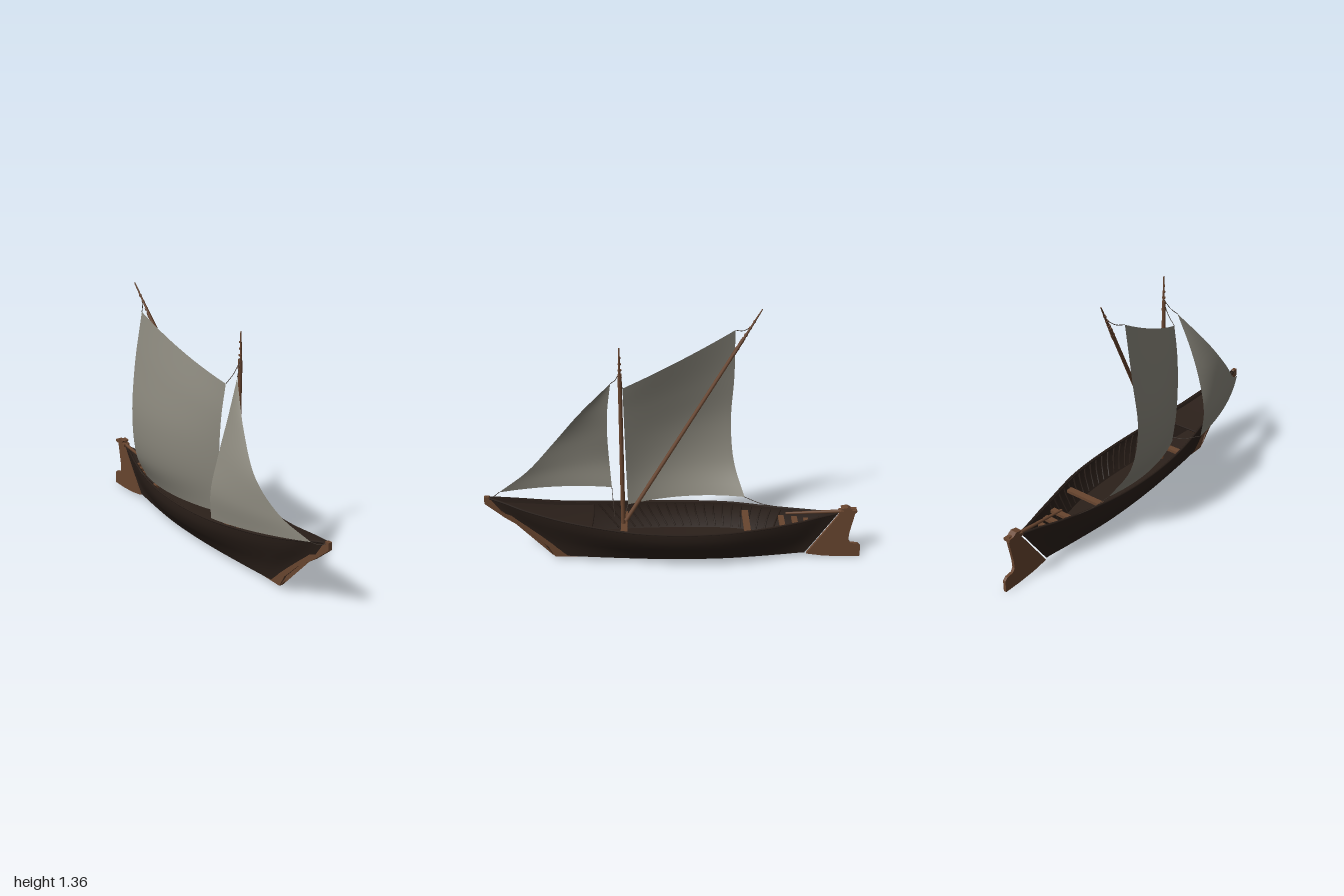
import * as THREE from 'three';
import { toCreasedNormals } from 'three/addons/utils/BufferGeometryUtils.js';

const V = (x, y, z) => new THREE.Vector3(x, y, z);
const material = (color) => new THREE.MeshStandardMaterial({ color, roughness: 0.9, side: THREE.DoubleSide });
const CX = 0.052; // centre line of the boat

// Smooth curve through evenly spaced values
function curveOf(values) {
  const spline = new THREE.SplineCurve(values.map((v, i) => new THREE.Vector2(i, v)));
  return (t) => spline.getPoint(t).y;
}
// Straight interpolation between [key, value] pairs
function lerpTable(table, k) {
  let i = 1;
  while (i < table.length - 1 && table[i][0] < k) i++;
  const [a, b] = [table[i - 1], table[i]];
  return THREE.MathUtils.mapLinear(k, a[0], b[0], a[1], b[1]);
}
// Surface through rows of points
function loft(rows, crease) {
  const n = rows[0].length, index = [];
  for (let i = 0; i < rows.length - 1; i++) {
    for (let j = 0; j < n - 1; j++) {
      const a = i * n + j, b = a + n;
      index.push(a, b, a + 1, b, b + 1, a + 1);
    }
  }
  const geo = new THREE.BufferGeometry().setFromPoints(rows.flat());
  geo.setIndex(index);
  geo.computeVertexNormals();
  return crease ? toCreasedNormals(geo, crease) : geo;
}
// Flat plate drawn as a (z, y) outline, centred on the boat
function plate(points, width) {
  const shape = new THREE.Shape(points.map(([z, y]) => new THREE.Vector2(z, y)));
  const geo = new THREE.ExtrudeGeometry(shape, { depth: width, bevelEnabled: false });
  return geo.translate(0, 0, -width / 2).rotateY(-Math.PI / 2).translate(CX, 0, 0);
}
// Tapered round spar between two points
function spar(a, b, r0, r1) {
  const dir = b.clone().sub(a);
  const geo = new THREE.CylinderGeometry(r1, r0, dir.length(), 10);
  geo.applyQuaternion(new THREE.Quaternion().setFromUnitVectors(V(0, 1, 0), dir.normalize()));
  return geo.translate((a.x + b.x) / 2, (a.y + b.y) / 2, (a.z + b.z) / 2);
}
const tube = (points, r, segments = 12) =>
  new THREE.TubeGeometry(new THREE.CatmullRomCurve3(points), segments, r, 5);

// Hull lines: t runs bow to stern, f runs bottom to rail
const sheer = curveOf([0.39, 0.345, 0.305, 0.28, 0.262, 0.253, 0.25, 0.25, 0.25, 0.258, 0.272]);
const plan = curveOf([0.03, 0.33, 0.56, 0.76, 0.92, 1, 1, 0.9, 0.66, 0.37, 0.06]);
const section = [[0, 0.055], [0.22, 0.092], [0.5, 0.142], [0.82, 0.174], [1, 0.175]];
const bow = [[0, 0.65], [0.18, 0.69], [0.47, 0.79], [0.76, 0.91], [1, 0.99]];
function hullPoint(f, t, side, inset = 0) {
  const half = Math.max(0.001, lerpTable(section, f) * plan(t) - inset);
  return V(CX + side * half, 0.025 + f * (sheer(t) - 0.025),
    THREE.MathUtils.lerp(lerpTable(bow, f), -0.7 - 0.165 * f, t));
}

export function createModel() {
  const model = new THREE.Group();
  const tarred = material(0x2b201a), wood = material(0x68452f);
  const canvas = material(0x8a877c), cord = material(0x3a3029);
  const add = (name, geo, mat, parent = model) => {
    const mesh = new THREE.Mesh(geo, mat);
    mesh.name = name;
    parent.add(mesh);
    return mesh;
  };
  const group = (name) => {
    const g = new THREE.Group();
    g.name = name;
    model.add(g);
    return g;
  };

  // Hull: closed ring of inner floor, inner side, rail, outer side, bottom
  const rows = [];
  for (let i = 0; i <= 40; i++) {
    const t = i / 40;
    const half = (s) => [
      hullPoint(0.42, t, s, 0.012), hullPoint(0.82, t, s, 0.012), hullPoint(1, t, s, 0.012),
      ...[1, 0.82, 0.65, 0.5, 0.35, 0.22, 0.1, 0].map((f) => hullPoint(f, t, s)),
    ];
    const ring = [...half(1), ...half(-1).reverse()];
    rows.push([...ring, ring[0].clone()]);
  }
  add('hull', loft(rows, 0.6), tarred);

  // Rails and ribs on both sides
  const rails = group('rails'), ribs = group('ribs');
  for (const s of [-1, 1]) {
    const line = [];
    for (let i = 0; i <= 20; i++) line.push(hullPoint(1, i / 20, s, 0.004));
    add('rail', tube(line, 0.006, 50), tarred, rails);
    for (let i = 0; i < 20; i++) {
      const t = 0.31 + i * 0.028;
      add('rib', tube([0.45, 0.7, 0.97].map((f) => hullPoint(f, t, s, 0.014)), 0.005, 5), tarred, ribs);
    }
  }

  // Foredeck with a curved beam at its aft edge
  const deck = [];
  for (let i = 0; i <= 10; i++) {
    const t = 0.29 * i / 10;
    const a = hullPoint(0.93, t, -1, 0.008), b = hullPoint(0.93, t, 1, 0.008);
    const row = [];
    for (let j = 0; j <= 6; j++) {
      const p = a.clone().lerp(b, j / 6), arch = 1 - (j / 3 - 1) ** 2;
      row.push(p.add(V(0, 0.006 * arch * plan(t), -0.02 * arch * t)));
    }
    deck.push(row);
  }
  add('foredeck', loft(deck), tarred);
  add('deckBeam', tube(deck[10], 0.006), tarred);

  // Thwarts: z, half width, depth
  const thwarts = group('thwarts');
  for (const [z, half, depth] of [[0.27, 0.12, 0.035], [-0.38, 0.118, 0.035],
    [-0.57, 0.064, 0.03], [-0.64, 0.05, 0.03], [-0.7, 0.036, 0.025]]) {
    add('thwart', new THREE.BoxGeometry(half * 2, 0.016, depth).translate(CX, 0.215, z), wood, thwarts);
  }

  // Stem post running into the keel
  add('stem', plate([[1, 0.395], [1, 0.355], [0.9, 0.27], [0.785, 0.188], [0.68, 0.085], [0.645, 0.02],
    [0.22, 0.015], [0.22, 0.028], [0.655, 0.03], [0.7, 0.1], [0.8, 0.2], [0.91, 0.3], [0.975, 0.395]], 0.02), wood);

  // Rudder and tiller
  add('rudder', plate([[-0.71, 0.02], [-0.8, 0.006], [-0.9, 0], [-1, 0], [-1, 0.065], [-0.985, 0.08],
    [-0.945, 0.085], [-0.932, 0.105], [-0.935, 0.15], [-0.958, 0.27], [-0.955, 0.3], [-0.885, 0.3],
    [-0.878, 0.27]], 0.016), wood);
  add('rudderHead', plate([[-0.87, 0.272], [-0.965, 0.28], [-0.965, 0.295], [-0.94, 0.295],
    [-0.915, 0.312], [-0.88, 0.306], [-0.895, 0.293], [-0.87, 0.288]], 0.038), wood);
  add('tiller', spar(V(0.035, 0.262, -0.59), V(CX, 0.283, -0.9), 0.006, 0.01), wood);

  // Mast with a lashed topmast
  add('mast', spar(V(CX, 0.11, 0.275), V(CX, 1.09, 0.275), 0.012, 0.01), wood);
  add('topmast', spar(V(CX + 0.004, 1.02, 0.278), V(CX + 0.002, 1.23, 0.275), 0.008, 0.003), wood);

  // Slanted yard with a lashed tip
  const foot = V(0.07, 0.25, 0.26), tip = V(-0.12, 1.36, -0.44);
  const onYard = (k) => foot.clone().lerp(tip, k);
  add('yard', spar(foot, onYard(0.87), 0.011, 0.009), wood);
  add('yardTip', spar(onYard(0.8).add(V(0.004, 0, 0)), tip, 0.009, 0.003), wood);
  const lashings = group('lashings');
  for (let i = 0; i < 5; i++) {
    const y = 1.04 + i * 0.033, k = 0.82 + i * 0.03;
    add('lashing', spar(V(CX, y, 0.275), V(CX, y + 0.008, 0.275), 0.012 - i * 0.0014, 0.012 - i * 0.0014), wood, lashings);
    add('lashing', spar(onYard(k), onYard(k + 0.008), 0.011 - i * 0.001, 0.011 - i * 0.001), wood, lashings);
  }

  // Sails: chords between a front and a back edge, bellied to the right
  const sail = (name, front, back, belly) => {
    const a = new THREE.CatmullRomCurve3(front), b = new THREE.CatmullRomCurve3(back), grid = [];
    for (let i = 0; i <= 24; i++) {
      const v = i / 24, row = [];
      for (let j = 0; j <= 20; j++) {
        const u = j / 20;
        row.push(a.getPoint(v).lerp(b.getPoint(v), u).add(belly(u, v)));
      }
      grid.push(row);
    }
    add(name, loft(grid), canvas);
  };
  const hump = (u) => 4 * u * (1 - u);
  const main = { head: V(-0.025, 0.975, 0.265), peak: V(-0.155, 1.235, -0.31),
    tack: V(-0.035, 0.285, 0.25), clew: V(-0.1, 0.285, -0.38) };
  sail('mainSail',
    [main.tack, V(-0.054, 0.46, 0.256), V(-0.058, 0.64, 0.26), V(-0.048, 0.82, 0.263), main.head],
    [main.clew, V(-0.195, 0.45, -0.325), V(-0.228, 0.68, -0.305), V(-0.2, 0.96, -0.315), main.peak],
    (u, v) => V(-hump(u) * (0.05 - 0.04 * v * v), -hump(u) * 0.015 * v, 0));
  const jib = { head: V(0, 1.015, 0.325), tack: V(-0.005, 0.385, 0.93), clew: V(-0.16, 0.32, 0.34) };
  sail('jib',
    [jib.tack, V(-0.07, 0.475, 0.78), V(-0.11, 0.62, 0.64), V(-0.08, 0.8, 0.5), jib.head],
    [jib.clew, V(-0.17, 0.47, 0.35), V(-0.13, 0.65, 0.355), V(-0.07, 0.83, 0.348), jib.head],
    (u, v) => V(-hump(u) * 0.035 * (1 - v), 0, 0));

  // Ropes, each sagging a little
  const ropes = group('ropes');
  for (const [a, b] of [
    [jib.head, V(CX, 1.1, 0.275)], [jib.tack, V(CX, 0.39, 0.99)], [jib.clew, V(0.03, 0.25, 0.32)],
    [main.head, V(CX, 1.08, 0.275)], [main.peak, onYard(0.92)],
    [main.tack, V(CX, 0.26, 0.275)], [main.clew, hullPoint(1, 0.84, -1)],
  ]) {
    add('rope', tube([a, a.clone().lerp(b, 0.5).add(V(0, -0.012, 0)), b], 0.0018), cord, ropes);
  }
  return model;
}
